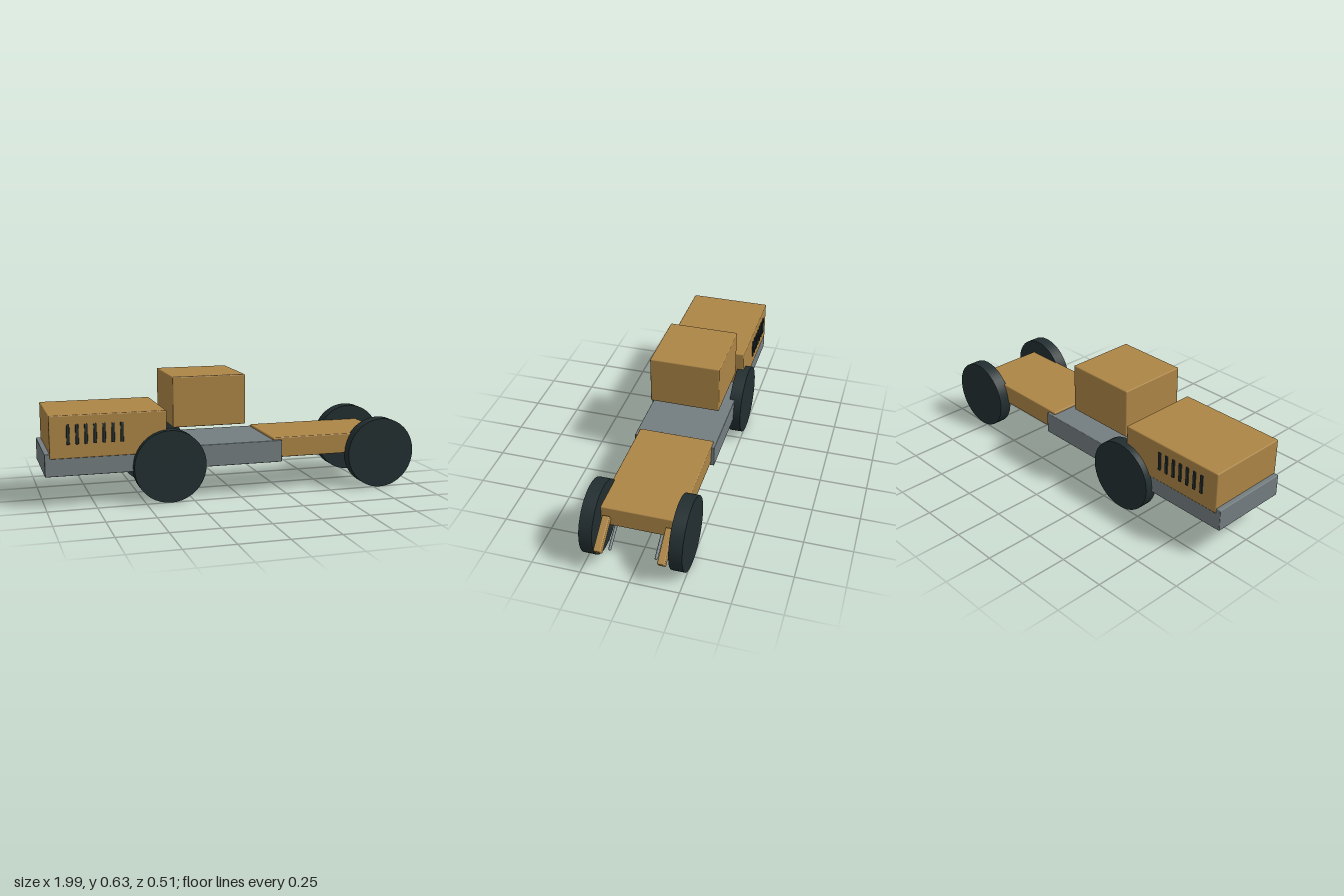
import * as THREE from 'three';
import { RoundedBoxGeometry } from 'three/addons/geometries/RoundedBoxGeometry.js';

const ochre = new THREE.MeshStandardMaterial({ name: 'ochre paint', color: 0xac8546 });
const steel = new THREE.MeshStandardMaterial({ name: 'grey steel', color: 0x737d80 });
const rubber = new THREE.MeshStandardMaterial({ name: 'dark rubber', color: 0x222e30 });

// Softly bevelled box given by its extents on each axis
function box(name, material, [x0, x1], [y0, y1], [z0, z1], bevel = 0.006) {
  const geometry = new RoundedBoxGeometry(x1 - x0, y1 - y0, z1 - z0, 2, bevel);
  const mesh = new THREE.Mesh(geometry, material);
  mesh.position.set((x0 + x1) / 2, (y0 + y1) / 2, (z0 + z1) / 2);
  mesh.name = name;
  return mesh;
}

export function createModel() {
  const model = new THREE.Group();
  model.name = 'loaderVehicle';

  // Main bodies
  model.add(
    box('chassis', steel, [-1, 0.235], [0.165, 0.281], [-0.216, 0.216], 0.004),
    box('engineCover', ochre, [-0.975, -0.385], [0.255, 0.472], [-0.221, 0.221]),
    box('cab', ochre, [-0.345, 0.04], [0.374, 0.634], [-0.187, 0.187]),
    box('frontFrame', ochre, [0.19, 0.835], [0.186, 0.293], [-0.2, 0.2])
  );

  const wheelGeometry = new THREE.CylinderGeometry(0.187, 0.187, 0.067, 40).rotateX(Math.PI / 2);
  const armGeometry = new RoundedBoxGeometry(0.177, 0.043, 0.038, 2, 0.006);
  const rodGeometry = new THREE.CapsuleGeometry(0.0075, 0.115, 4, 12).rotateZ(Math.PI / 2);

  for (const side of [1, -1]) {
    const label = side > 0 ? 'Front' : 'Back';

    // Wheels
    for (const x of [-0.374, 0.785]) {
      const wheel = new THREE.Mesh(wheelGeometry, rubber);
      wheel.name = 'wheel' + label;
      wheel.position.set(x, 0.187, side * 0.2215);
      model.add(wheel);
    }

    // Cooling slots on the engine cover
    for (let i = 0; i < 7; i++) {
      const x = -0.883 + i * 0.0447;
      model.add(box('coolingSlot' + label, rubber, [x - 0.008, x + 0.008], [0.326, 0.426],
        [side * 0.225 - 0.004, side * 0.225 + 0.004], 0.003));
    }

    // Sloping lift arm
    const arm = new THREE.Mesh(armGeometry, ochre);
    arm.name = 'liftArm' + label;
    arm.position.set(0.91, 0.189, side * 0.158);
    arm.rotation.z = -0.61;
    model.add(arm);

    // Hydraulic rod beside the arm
    const rod = new THREE.Mesh(rodGeometry, steel);
    rod.name = 'hydraulicRod' + label;
    rod.position.set(0.881, 0.154, side * 0.116);
    rod.rotation.z = -0.56;
    model.add(rod);
  }
  return model;
}
